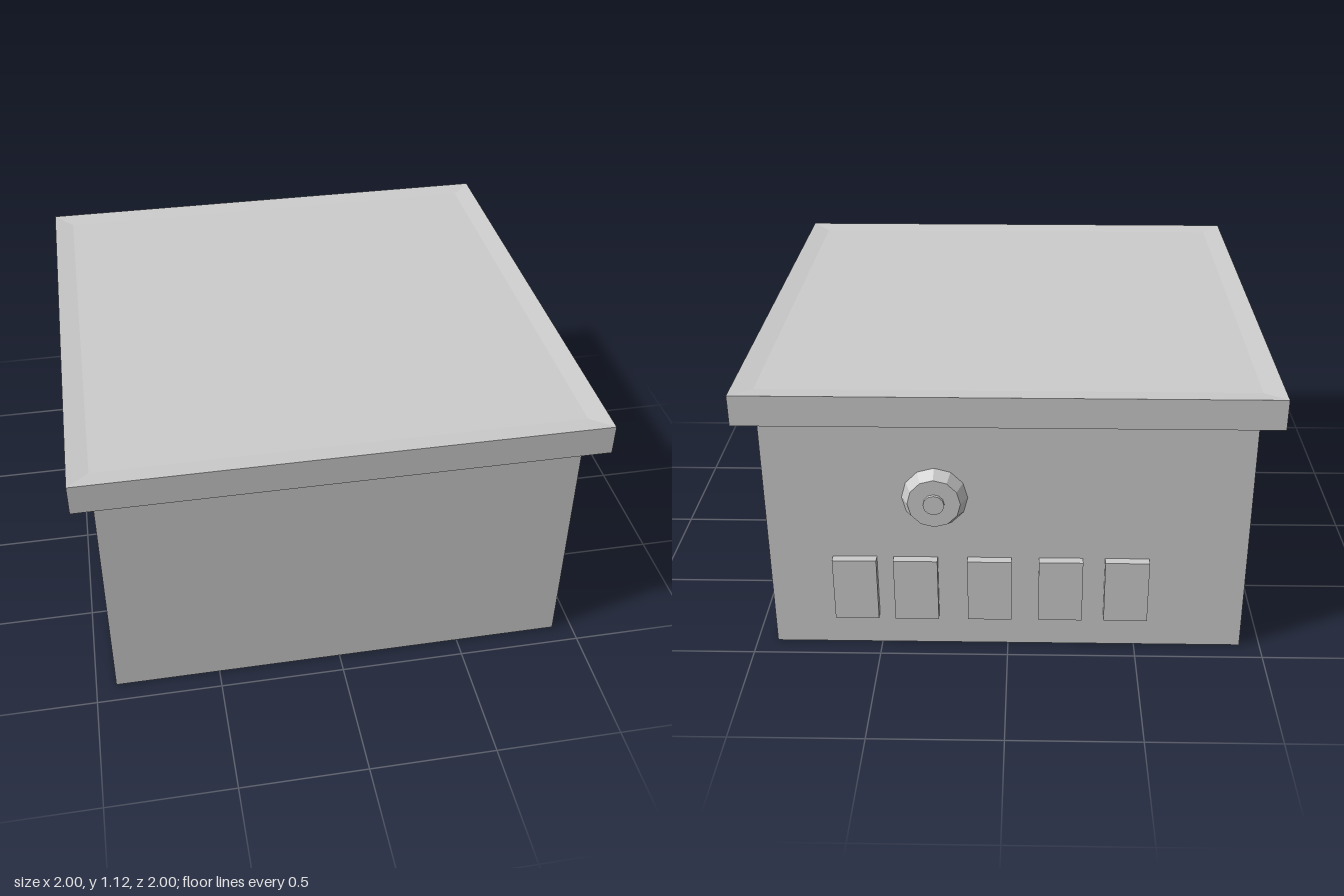
import * as THREE from 'three';

const material = new THREE.MeshStandardMaterial({ color: 0xcccccc, flatShading: true });

function add(group, name, geometry, x = 0, y = 0, z = 0) {
  const mesh = new THREE.Mesh(geometry, material);
  mesh.name = name;
  mesh.position.set(x, y, z);
  group.add(mesh);
  return mesh;
}

// Faceted solid from [radius, height] pairs, listed from bottom to top
function turned(profile, sides, phiStart = 0) {
  const points = profile.map(([r, h]) => new THREE.Vector2(r, h));
  const geometry = new THREE.LatheGeometry(points, sides, phiStart).toNonIndexed();
  geometry.computeVertexNormals();
  return geometry;
}

export function createModel() {
  const model = new THREE.Group();
  model.name = 'box';
  const half = 0.92;
  const backZ = -half;

  // Box body
  add(model, 'body', new THREE.BoxGeometry(half * 2, 1, half * 2), 0, 0.5, 0);

  // Overhanging square lid with a shallow dished top
  const d = Math.SQRT2;
  add(model, 'lid', turned(
    [[0, 0], [d, 0], [d, 0.12], [half * d, 0.11], [0, 0.11]], 4, Math.PI / 4), 0, 1, 0);

  // Tapered dial with a small centre button, on the back
  const dial = turned(
    [[0, 0], [0.125, 0], [0.1, 0.05], [0.04, 0.05], [0.04, 0.063], [0, 0.063]], 12);
  dial.rotateX(-Math.PI / 2);
  add(model, 'dial', dial, 0.275, 0.665, backZ);

  // Row of raised plates below the dial
  const plates = new THREE.Group();
  plates.name = 'plates';
  const plate = new THREE.BoxGeometry(0.17, 0.265, 0.035);
  [0.59, 0.355, 0.07, -0.205, -0.46].forEach((x, i) =>
    add(plates, `plate${i + 1}`, plate, x, 0.268, backZ - 0.0175));
  model.add(plates);

  return model;
}
